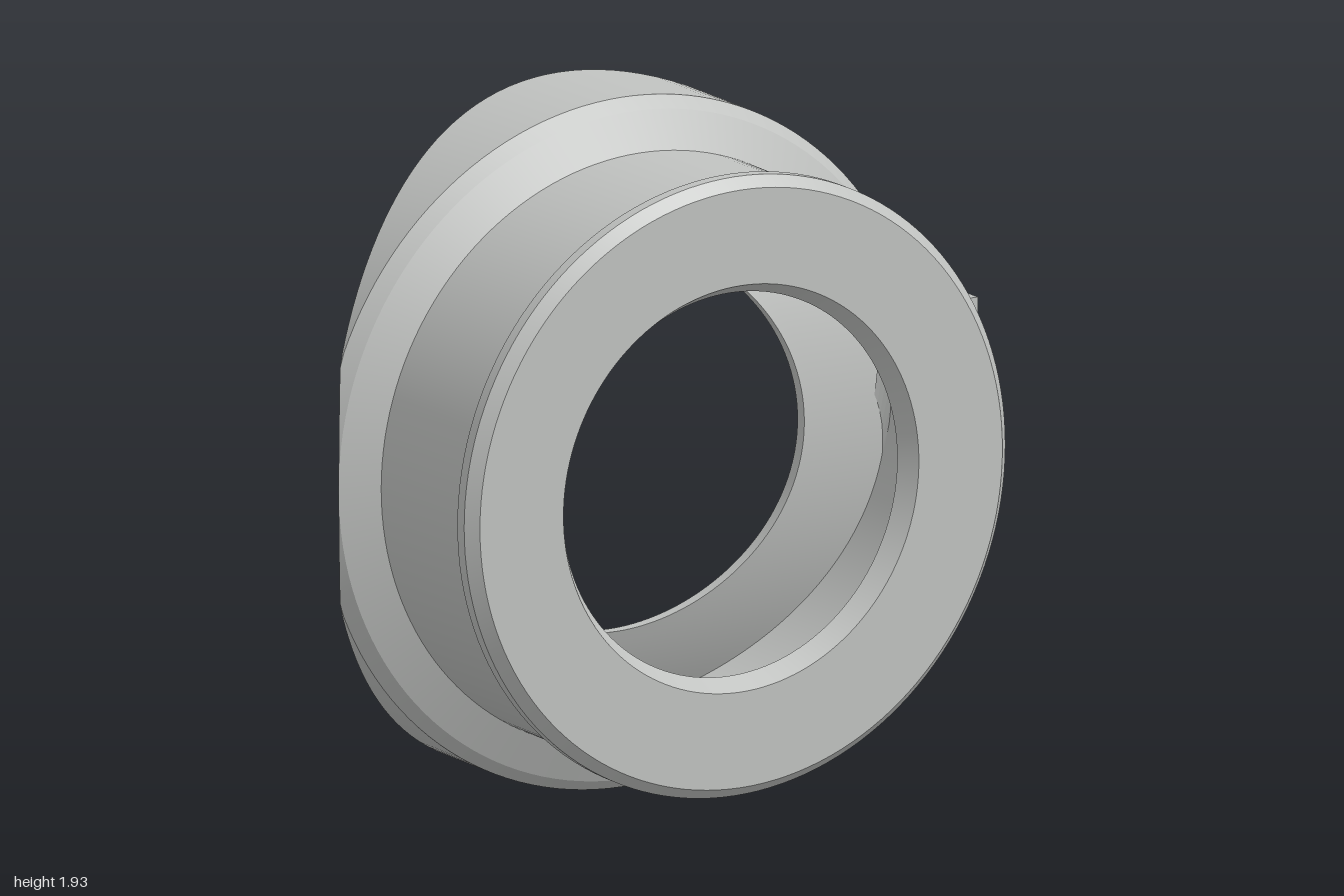
import * as THREE from 'three';

const CX = -0.065, CY = 0.968;   // ring axis
const SADDLE_R = 1.463;          // radius of the concave back
const SEGMENTS = 144;

// Depth of the concave cylindrical back at height y from the axis
const saddleZ = (y) => -0.1 - SADDLE_R + Math.sqrt(SADDLE_R * SADDLE_R - y * y);

// Surface swept around the axis; profile(u, angle) returns [radius, z]
function band(profile, steps = 1) {
  const pos = [], index = [];
  for (let i = 0; i < SEGMENTS; i++) {
    const a = (i / SEGMENTS) * Math.PI * 2;
    for (let j = 0; j <= steps; j++) {
      const [r, z] = profile(j / steps, a);
      pos.push(r * Math.cos(a), r * Math.sin(a), z);
    }
  }
  const n = steps + 1;
  for (let i = 0; i < SEGMENTS; i++) {
    for (let j = 0; j < steps; j++) {
      const p = i * n + j, q = ((i + 1) % SEGMENTS) * n + j;
      index.push(p, q, p + 1, q, q + 1, p + 1);
    }
  }
  const g = new THREE.BufferGeometry();
  g.setAttribute('position', new THREE.Float32BufferAttribute(pos, 3));
  g.setIndex(index);
  g.computeVertexNormals();
  return g;
}

const mix = (p, q, u) => [p[0] + (q[0] - p[0]) * u, p[1] + (q[1] - p[1]) * u];

// Flange rim: flared edge trimmed where it meets the concave back
const RIM_INNER = [0.935, -0.1], RIM_OUTER = [0.967, -0.14];
function rimCorner(a) {
  let lo = 0, hi = 1;
  const inFront = (t) => {
    const [r, z] = mix(RIM_INNER, RIM_OUTER, t);
    return z >= saddleZ(r * Math.sin(a));
  };
  if (inFront(1)) return RIM_OUTER;
  for (let k = 0; k < 30; k++) {
    const m = (lo + hi) / 2;
    if (inFront(m)) lo = m; else hi = m;
  }
  return mix(RIM_INNER, RIM_OUTER, lo);
}
function rimBack(a) {
  const corner = rimCorner(a);
  return [corner[0], Math.min(corner[1], saddleZ(corner[0] * Math.sin(a)))];
}

export function createModel() {
  const group = new THREE.Group();
  const grey = new THREE.MeshStandardMaterial({ color: 0xc0c2c0 });
  grey.name = 'light grey';

  const add = (parent, name, geometry) => {
    const mesh = new THREE.Mesh(geometry, grey);
    mesh.name = name;
    parent.add(mesh);
  };
  const ring = new THREE.Group();
  ring.name = 'ring';
  ring.position.set(CX, CY, 0);
  group.add(ring);

  const HOLE = 0.537, CAVITY = 0.8, WALL = 0.035;

  // Concave back with its round opening
  add(ring, 'saddleBack', band((u, a) => {
    const r = HOLE + (rimBack(a)[0] - HOLE) * u;
    return [r, saddleZ(r * Math.sin(a))];
  }, 12));

  // Flange around the back
  add(ring, 'flangeRim', band((u, a) => mix(rimBack(a), rimCorner(a), u)));
  add(ring, 'flangeBevel', band((u, a) => mix(rimCorner(a), RIM_INNER, u)));

  // Barrel, front lip, front plate and inner wall
  const profile = [
    ['flangeCone', RIM_INNER], ['barrel', [0.83, -0.05]],
    ['lipRearBevel', [0.83, 0.37]], ['lip', [0.868, 0.4]],
    ['lipFrontBevel', [0.868, 0.435]], ['frontPlate', [0.838, 0.468]],
    ['openingBevel', [0.57, 0.468]], ['plateBack', [0.537, 0.41]],
    ['cavityBevel', [0.775, 0.41]], ['', [CAVITY, 0.375]],
  ];
  for (let i = 0; i < profile.length - 1; i++) {
    add(ring, profile[i][0], band((u) => mix(profile[i][1], profile[i + 1][1], u)));
  }
  const innerZ = (r, a) => saddleZ(r * Math.sin(a)) + WALL;
  add(ring, 'cavityWall', band((u, a) => mix([CAVITY, 0.375], [CAVITY, innerZ(CAVITY, a)], u)));
  add(ring, 'saddleInside', band((u, a) => {
    const r = CAVITY + (HOLE - CAVITY) * u;
    return [r, innerZ(r, a)];
  }, 8));
  add(ring, 'backOpeningEdge', band((u, a) => [HOLE, innerZ(HOLE, a) - WALL * u]));

  // Side tab, its back following the concave curve, its root following the barrel
  const half = 0.288, end = 1 - CX, rows = 12;
  const shape = new THREE.Shape();
  for (let i = 0; i <= rows; i++) {
    const y = -half + (2 * half * i) / rows;
    if (i === 0) shape.moveTo(-saddleZ(y), y); else shape.lineTo(-saddleZ(y), y);
  }
  for (let i = rows; i >= 0; i--) shape.lineTo(0.02, -half + (2 * half * i) / rows);
  const tab = new THREE.ExtrudeGeometry(shape, { depth: end, bevelEnabled: false });
  tab.rotateY(Math.PI / 2);
  const p = tab.attributes.position;
  for (let i = 0; i < p.count; i++) {
    if (p.getX(i) < 0.01) p.setX(i, Math.sqrt(0.815 ** 2 - p.getY(i) ** 2));
  }
  tab.computeVertexNormals();
  add(ring, 'sideTab', tab);

  return group;
}
